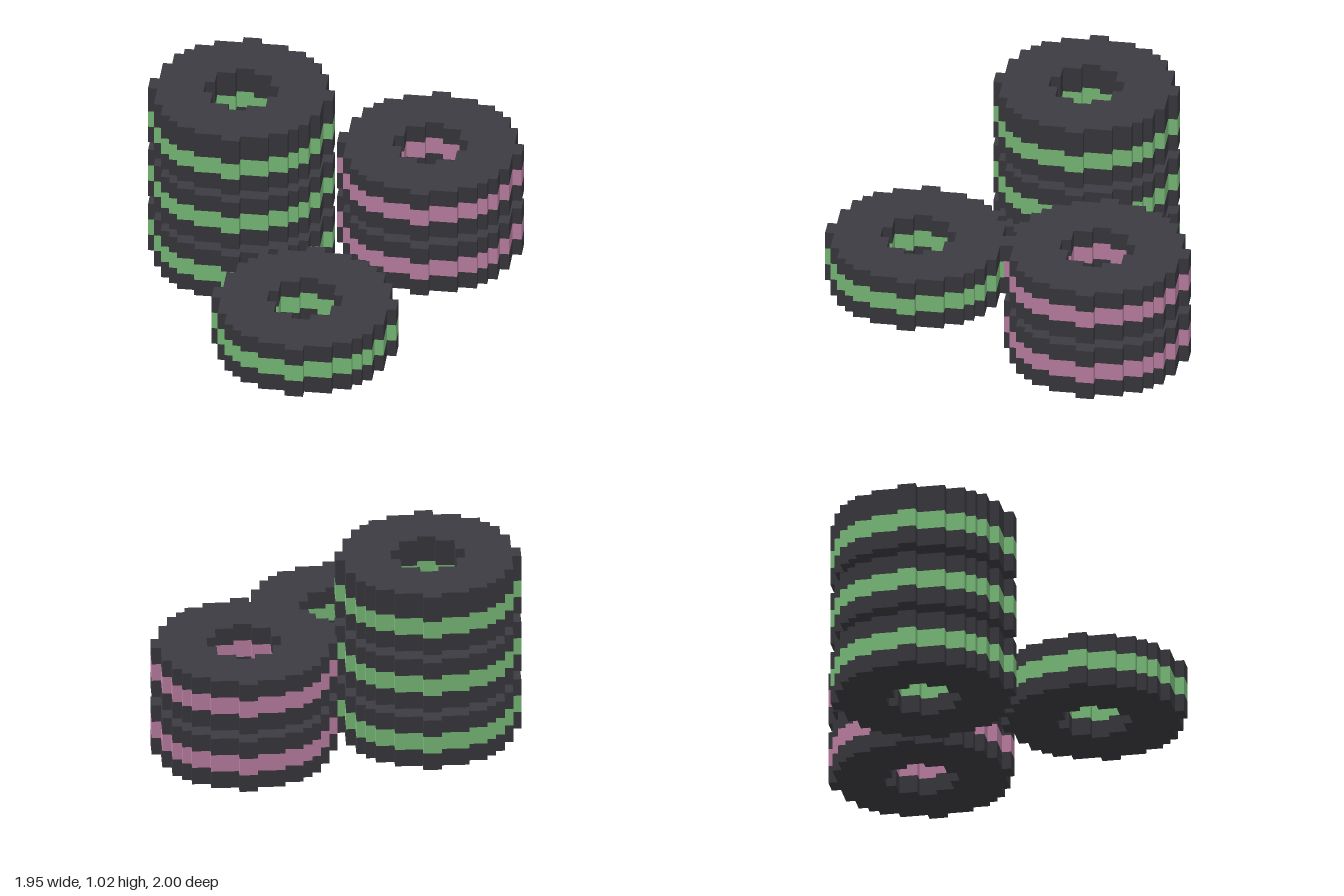
import * as THREE from 'three';

const CELL = 2 / 41;
// half widths of each row of cells, counted from the middle outward
const OUTER = [10, 9, 9, 9, 8, 8, 7, 6, 4, 1];
const HOLE = [4, 3, 3, 1];

const rubber = new THREE.MeshStandardMaterial({ name: 'charcoal', color: 0x3d3c42 });
const green = new THREE.MeshStandardMaterial({ name: 'green', color: 0x82c982 });
const pink = new THREE.MeshStandardMaterial({ name: 'pink', color: 0xca89af });

// stepped circle: one quadrant of corners mirrored to all four
function steppedCircle(rows) {
  const q = [];
  rows.forEach((w, i) => {
    if (i > 0 && w !== rows[i - 1]) q.push([w, i]);
    if (w !== rows[i + 1]) q.push([w, i + 1]);
  });
  const mirror = (sx, sy) => q.map(([x, y]) => new THREE.Vector2(x * sx * CELL, y * sy * CELL));
  return [...mirror(1, 1), ...mirror(-1, 1).reverse(), ...mirror(-1, -1), ...mirror(1, -1).reverse()];
}

const ringShape = new THREE.Shape(steppedCircle(OUTER));
ringShape.holes.push(new THREE.Path(steppedCircle(HOLE)));

// ring layer between two heights (in cells), keeping only the wanted flat caps
function layer(from, to, capBottom, capTop) {
  const geo = new THREE.ExtrudeGeometry(ringShape, { depth: (to - from) * CELL, bevelEnabled: false });
  geo.rotateX(-Math.PI / 2);
  const pos = geo.attributes.position;
  const nor = geo.attributes.normal;
  const keptPos = [], keptNor = [];
  for (let i = 0; i < pos.count; i += 3) {
    const ny = nor.getY(i);
    if ((ny > 0.5 && !capTop) || (ny < -0.5 && !capBottom)) continue;
    for (let k = i; k < i + 3; k++) {
      keptPos.push(pos.getX(k), pos.getY(k) + from * CELL, pos.getZ(k));
      keptNor.push(nor.getX(k), nor.getY(k), nor.getZ(k));
    }
  }
  const out = new THREE.BufferGeometry();
  out.setAttribute('position', new THREE.Float32BufferAttribute(keptPos, 3));
  out.setAttribute('normal', new THREE.Float32BufferAttribute(keptNor, 3));
  return out;
}

// one ring: dark bottom, coloured band, dark top
function makeRing(height, bandMaterial) {
  const ring = new THREE.Group();
  ring.name = 'ring';
  const add = (name, geo, mat) => {
    const mesh = new THREE.Mesh(geo, mat);
    mesh.name = name;
    ring.add(mesh);
  };
  add('lowerLayer', layer(0, 2, true, false), rubber);
  add('colourBand', layer(2, 4, false, false), bandMaterial);
  add('upperLayer', layer(4, height, false, true), rubber);
  return ring;
}

export function createModel() {
  const model = new THREE.Group();
  model.name = 'ringStacks';
  // stack positions and ring heights, in cells
  const stacks = [
    { name: 'tallGreenStack', x: -10, z: -6.5, heights: [6, 6, 7], mat: green },
    { name: 'pinkStack', x: 10, z: -10.5, heights: [6, 6], mat: pink },
    { name: 'singleGreenRing', x: -1, z: 10.5, heights: [6], mat: green },
  ];
  for (const { name, x, z, heights, mat } of stacks) {
    const stack = new THREE.Group();
    stack.name = name;
    stack.position.set(x * CELL, 0, z * CELL);
    heights.forEach((h, i) => {
      const ring = makeRing(h, mat);
      ring.position.y = i * 7 * CELL; // one cell of air between rings
      stack.add(ring);
    });
    model.add(stack);
  }
  return model;
}
